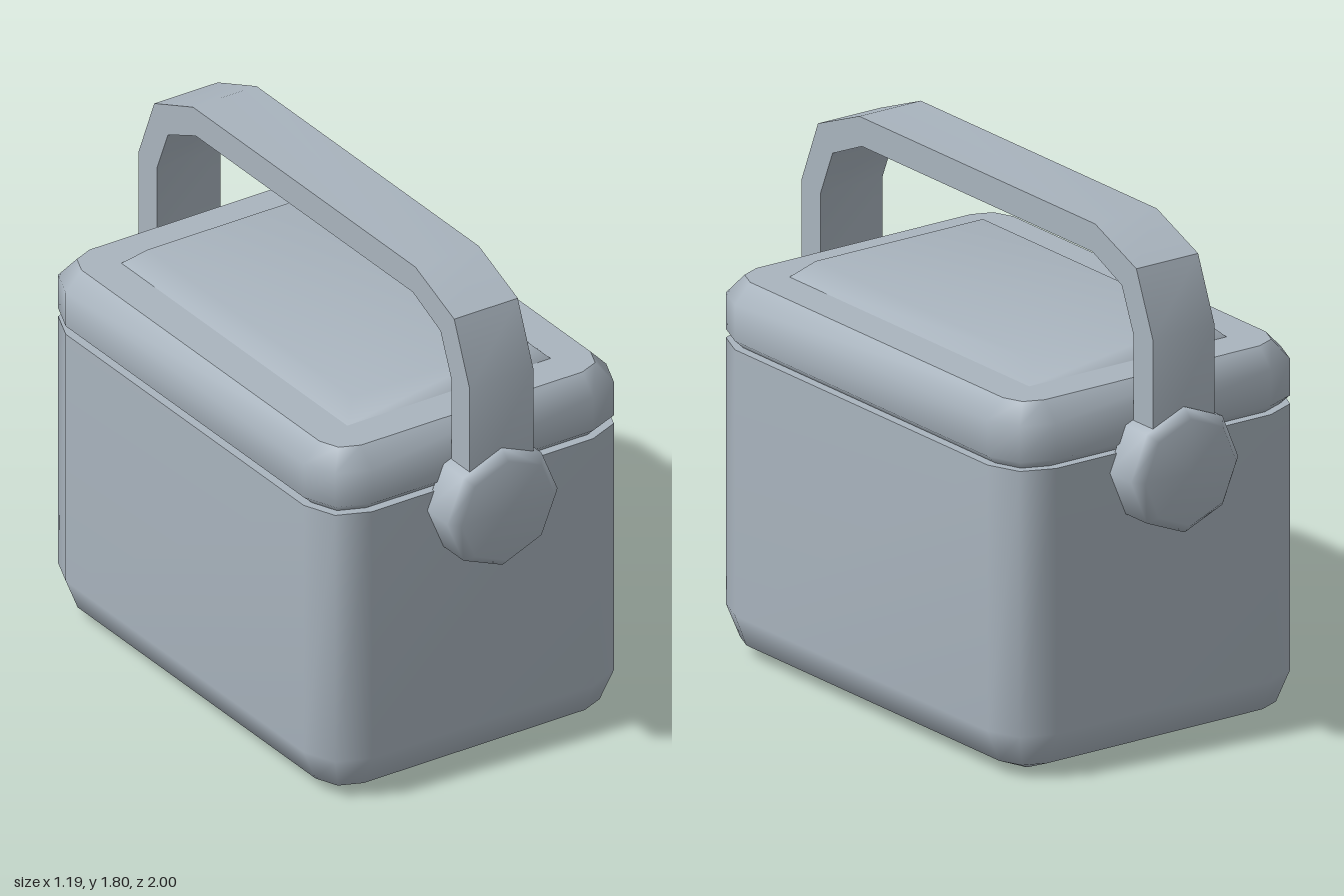
import * as THREE from 'three';
import { mergeVertices, toCreasedNormals } from 'three/addons/utils/BufferGeometryUtils.js';

const shell = new THREE.MeshStandardMaterial({ color: 0xa9b4be });
shell.name = 'greyBlue';

// Weld shared corners and smooth the normals across them
function smooth(geometry) {
  geometry.deleteAttribute('uv');
  geometry.deleteAttribute('normal');
  const welded = mergeVertices(geometry, 1e-4);
  welded.computeVertexNormals();
  return welded;
}

// Rounded rectangle outline, three points per corner
function ring(halfW, halfD, radius, y) {
  const points = [];
  [[1, 1], [-1, 1], [-1, -1], [1, -1]].forEach(([sx, sz], corner) => {
    for (let k = 0; k < 3; k++) {
      const a = (corner + k / 2) * Math.PI / 2;
      points.push([
        sx * (halfW - radius) + radius * Math.cos(a), y,
        sz * (halfD - radius) + radius * Math.sin(a),
      ]);
    }
  });
  return points;
}

// Loft through [y, inset] levels; a cap is part of the smooth skin
function loft(halfW, halfD, radius, levels, { sides = true, bottom = false, top = false }) {
  const rings = levels.map(([y, d]) => ring(halfW - d, halfD - d, Math.max(radius - d, 0), y));
  const n = rings[0].length;
  const index = [];
  for (let j = 0; sides && j < rings.length - 1; j++) {
    for (let i = 0; i < n; i++) {
      const a = j * n + i, b = j * n + (i + 1) % n;
      index.push(a, a + n, b, b, a + n, b + n);
    }
  }
  const last = (rings.length - 1) * n;
  for (let i = 1; i < n - 1; i++) {
    if (bottom) index.push(0, i, i + 1);
    if (top) index.push(last, last + i + 1, last + i);
  }
  const geometry = new THREE.BufferGeometry();
  geometry.setAttribute('position', new THREE.Float32BufferAttribute(rings.flat(2), 3));
  geometry.setIndex(index);
  return smooth(geometry);
}

export function createModel() {
  const group = new THREE.Group();
  group.name = 'coolBox';
  const add = (name, geometry) => {
    const mesh = new THREE.Mesh(geometry, shell);
    mesh.name = name;
    group.add(mesh);
    return mesh;
  };

  // Box with rounded floor and corners, closed by a flat rim
  add('body', loft(0.595, 0.85, 0.16, [[0, 0.16], [0.047, 0.047], [0.16, 0], [1.08, 0]], { bottom: true }));
  add('bodyRim', loft(0.595, 0.85, 0.16, [[1.08, 0]], { sides: false, top: true }));

  // Lid with bevelled edges and a flat top
  add('lid', loft(0.595, 0.85, 0.16, [[1.078, 0.035], [1.11, 0], [1.235, 0], [1.3, 0.062]], {}));
  add('lidTop', loft(0.595, 0.85, 0.16, [[1.3, 0.062]], { sides: false, top: true }));

  // Raised panel with sloping sides
  add('lidPanel', loft(0.4, 0.655, 0, [[1.3, 0], [1.36, 0.062]], { top: true }));

  // Carrying strap bent over the lid
  const outer = [[0.96, 1.05], [0.96, 1.49], [0.87, 1.71], [0.645, 1.8]];
  const inner = [[0.855, 1.05], [0.855, 1.475], [0.79, 1.63], [0.63, 1.7]];
  const mirror = (points) => points.map(([z, y]) => [-z, y]).reverse();
  const outline = [...outer, ...mirror(outer), ...mirror(inner).reverse(), ...inner.slice().reverse()];
  const shape = new THREE.Shape(outline.map(([z, y]) => new THREE.Vector2(z, y)));
  const strap = new THREE.ExtrudeGeometry(shape, { depth: 0.25, bevelEnabled: false });
  strap.translate(0, 0, -0.125).rotateY(-Math.PI / 2);
  add('handle', toCreasedNormals(strap, 0.6));

  // Eight-sided pivots at both ends
  const profile = [[0.217, 0.84], [0.217, 0.965], [0.184, 1], [0, 1]];
  const pivot = smooth(new THREE.LatheGeometry(profile.map(([r, h]) => new THREE.Vector2(r, h)), 8));
  pivot.rotateX(Math.PI / 2);
  ['frontPivot', 'backPivot'].forEach((name, i) => {
    const mesh = add(name, pivot);
    mesh.position.y = 1.016;
    mesh.rotation.y = i * Math.PI;
  });
  return group;
}
